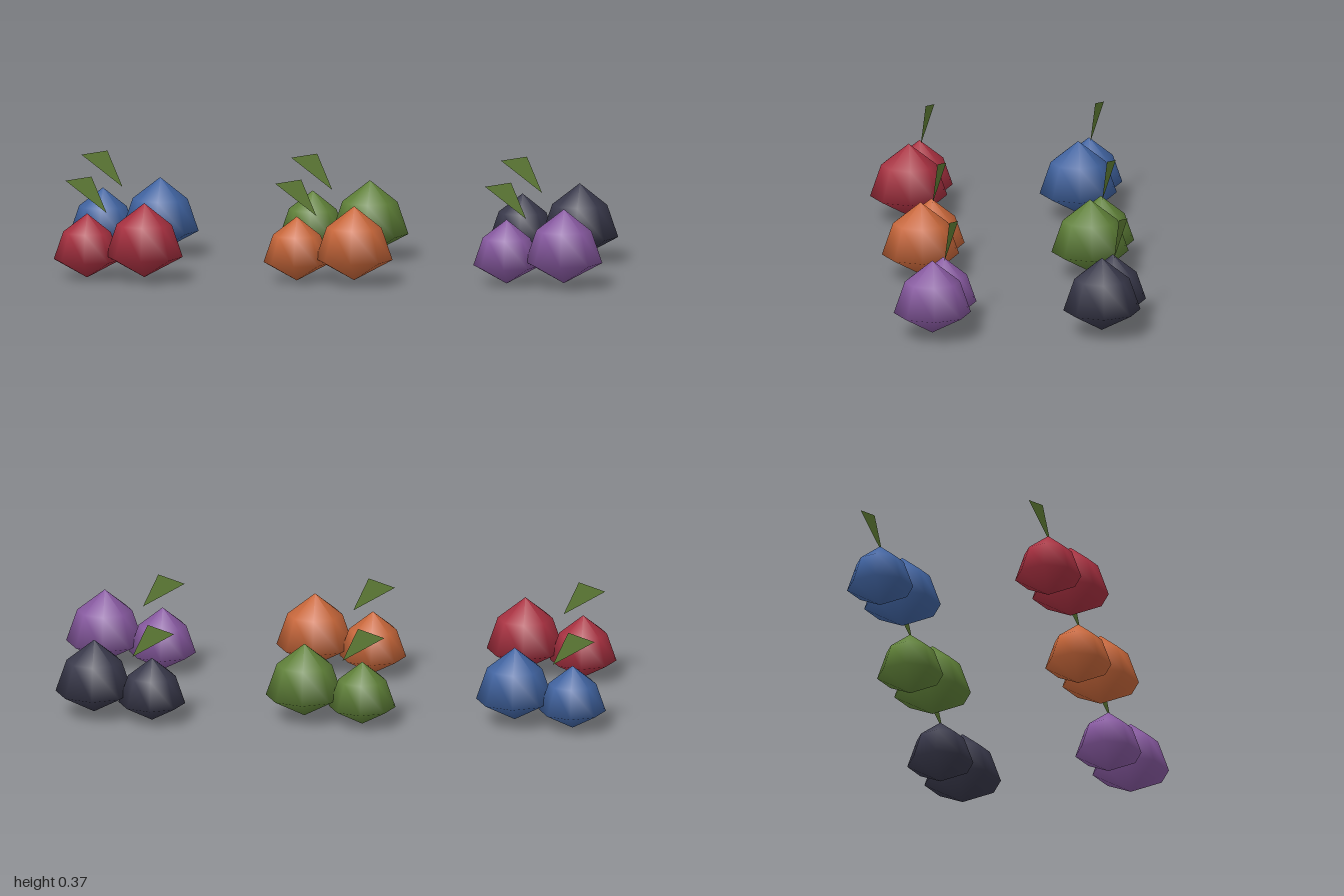
import * as THREE from 'three';

// Eight-sided, pear-like berry with points at top and bottom; origin at its base
function berryGeometry() {
  const profile = [[0, 0], [0.14, 0.076], [0.1, 0.193], [0, 0.271]];
  return new THREE.LatheGeometry(profile.map(([r, y]) => new THREE.Vector2(r, y)), 8);
}

// Single upright triangular leaf, relative to the small berry's base
function leafGeometry() {
  const geometry = new THREE.BufferGeometry();
  geometry.setAttribute('position', new THREE.Float32BufferAttribute([
    0.071, 0.237, -0.001,
    0.014, 0.366, -0.022,
    -0.084, 0.344, -0.059,
  ], 3));
  geometry.computeVertexNormals();
  return geometry;
}

function makeMaterial(name, color, side = THREE.FrontSide) {
  const material = new THREE.MeshStandardMaterial({ color, side });
  material.name = name;
  return material;
}

export function createModel() {
  const model = new THREE.Group();
  model.name = 'berryPairs';
  const berry = berryGeometry();
  const leaf = leafGeometry();
  const leafMaterial = makeMaterial('leafGreen', 0x5d7a34, THREE.DoubleSide);

  // Front row then back row, each from right (-x) to left (+x)
  const rows = [
    { z: 0.272, colors: [['red', 0xa83040], ['orange', 0xc8673a], ['purple', 0x8759a0]] },
    { z: -0.343, colors: [['blue', 0x4063a0], ['green', 0x5f8038], ['black', 0x38384a]] },
  ];

  const add = (group, name, geometry, material) => {
    const mesh = new THREE.Mesh(geometry, material);
    mesh.name = name;
    group.add(mesh);
    return mesh;
  };

  for (const { z, colors } of rows) {
    colors.forEach(([name, color], i) => {
      const material = makeMaterial(name, color);
      const pair = new THREE.Group();
      pair.name = name + 'BerryPair';
      pair.position.set(-0.88 + i * 0.763, 0, z);
      add(pair, 'smallBerry', berry, material).scale.setScalar(0.865);
      add(pair, 'largeBerry', berry, material).position.set(0.213, 0.012, 0.051);
      add(pair, 'leaf', leaf, leafMaterial);
      model.add(pair);
    });
  }
  return model;
}
